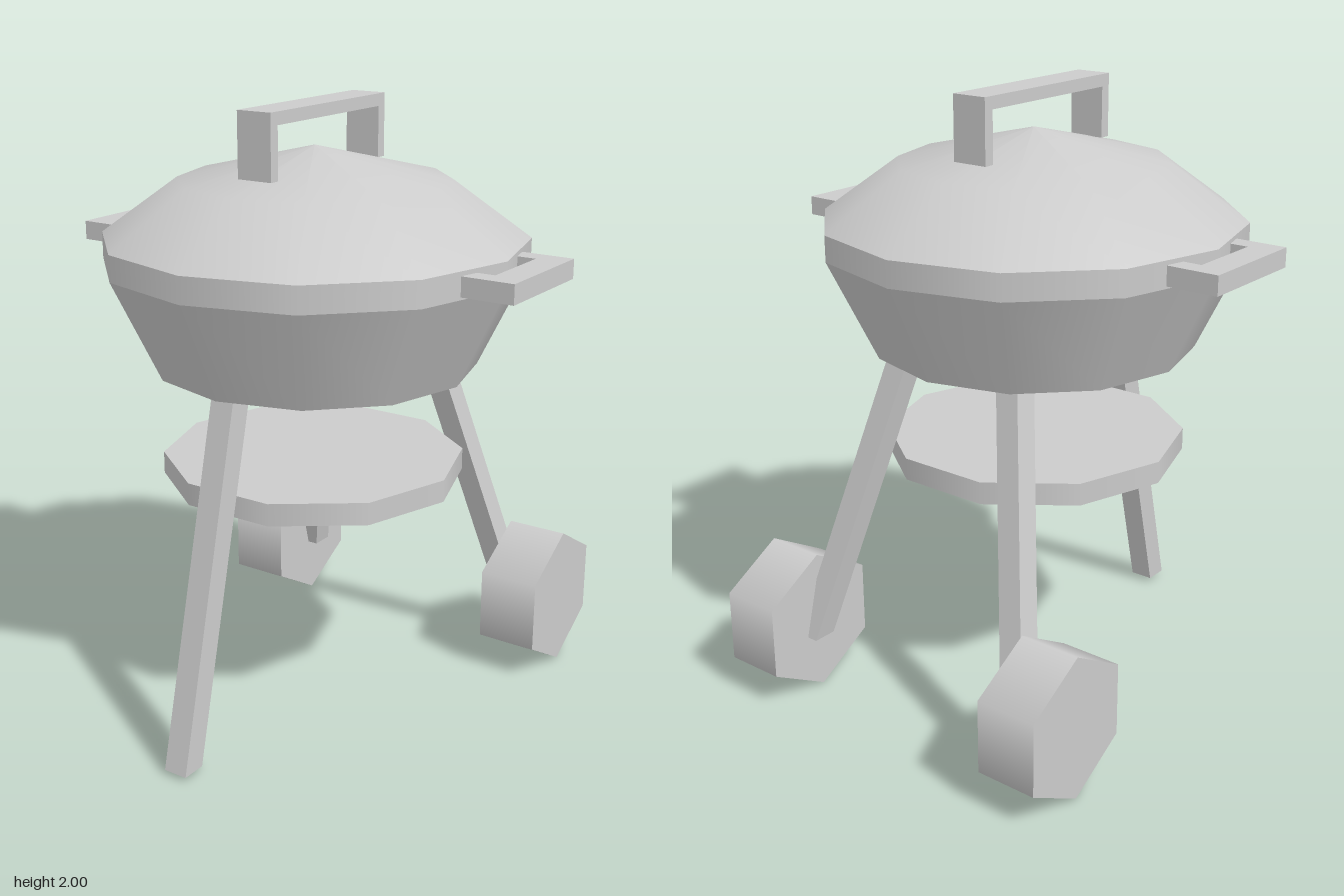
import * as THREE from 'three';

const CZ = 0.027; // bowl axis in z

export function createModel() {
  const model = new THREE.Group();
  const mat = new THREE.MeshStandardMaterial({ color: 0xcccccc });
  const add = (name, geo, x = 0, y = 0, z = 0) => {
    const mesh = new THREE.Mesh(geo, mat);
    mesh.name = name;
    mesh.position.set(x, y, z);
    model.add(mesh);
    return mesh;
  };

  // Twelve-sided kettle, split into sections so the rims stay sharp
  const turned = (name, pts) =>
    add(name, new THREE.LatheGeometry(pts.map(p => new THREE.Vector2(...p)), 12), 0, 0, CZ);
  turned('bowlBottom', [[0, 1.165], [0.527, 1.165]]);
  turned('bowlWall', [[0.527, 1.165], [0.685, 1.495]]);
  turned('bowlRim', [[0.685, 1.495], [0.685, 1.58]]);
  turned('lid', [[0.685, 1.58], [0.437, 1.76], [0, 1.865]]);

  // U-shaped bracket: open end at y = 0, bar at the far end, centred in depth
  const bracket = (width, reach, arm, bar, depth) => {
    const w = width / 2, i = w - arm;
    const shape = new THREE.Shape([
      [-w, 0], [-i, 0], [-i, reach - bar], [i, reach - bar], [i, 0], [w, 0], [w, reach], [-w, reach],
    ].map(p => new THREE.Vector2(...p)));
    return new THREE.ExtrudeGeometry(shape, { depth, bevelEnabled: false })
      .translate(0, 0, -depth / 2).rotateY(Math.PI / 2);
  };
  add('lidHandle', bracket(0.63, 0.205, 0.036, 0.04, 0.122), 0, 1.795, 0.03);
  for (const s of [1, -1]) {
    const handle = bracket(0.39, 0.17, 0.065, 0.095, 0.062).rotateZ(-s * Math.PI / 2);
    add(s > 0 ? 'leftHandle' : 'rightHandle', handle, s * 0.635, 1.535, 0.023);
  }

  // Ten-sided shelf
  const shelf = new THREE.CylinderGeometry(0.497, 0.497, 0.073, 10).rotateY(Math.PI / 2);
  add('shelf', shelf, 0, 0.817, 0.035);

  // Legs are square posts sheared outward, with level ends
  const leg = (name, bottom, top) => {
    const [x0, y0, z0] = bottom, [x1, y1, z1] = top;
    const geo = new THREE.BoxGeometry(0.082, y1 - y0, 0.082).translate(0, (y1 - y0) / 2, 0);
    const shear = new THREE.Matrix4().set(
      1, (x1 - x0) / (y1 - y0), 0, x0,
      0, 1, 0, y0,
      0, (z1 - z0) / (y1 - y0), 1, z0,
      0, 0, 0, 1);
    add(name, geo.applyMatrix4(shear).toNonIndexed()).geometry.computeVertexNormals();
  };
  leg('frontLeg', [0, 0.015, 0.758], [0, 1.18, 0.477]);

  // Rear legs and six-sided wheels
  for (const s of [1, -1]) {
    const side = s > 0 ? 'left' : 'right';
    leg(side + 'RearLeg', [s * 0.436, 0.2, -0.603], [s * 0.218, 1.18, -0.345]);
    const wheel = new THREE.CylinderGeometry(0.242, 0.242, 0.205, 6)
      .rotateZ(Math.PI / 2).rotateX(Math.PI / 2);
    add(side + 'Wheel', wheel, s * 0.535, 0.242, -0.585);
  }
  return model;
}
